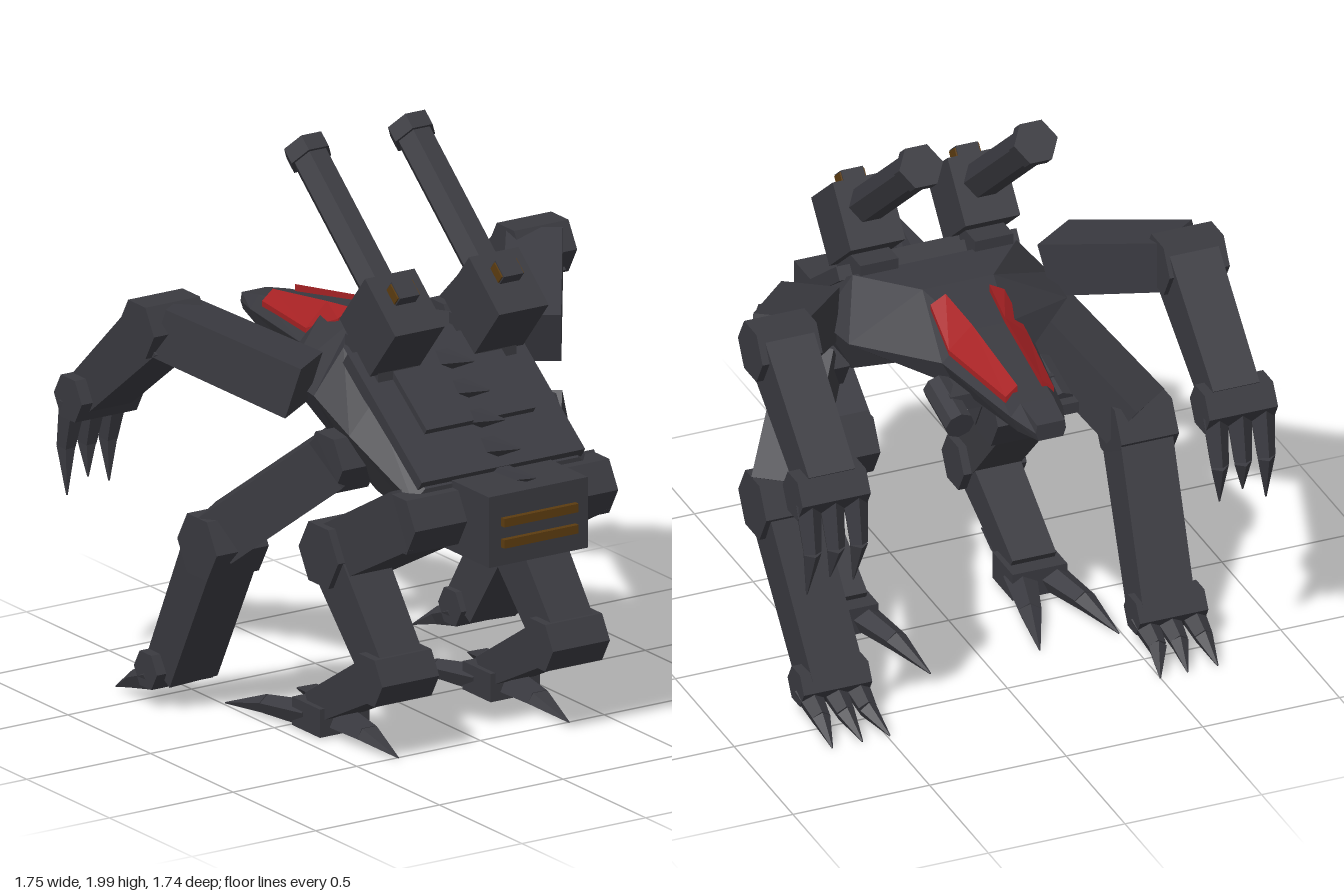
import * as THREE from 'three';

const armor = new THREE.MeshStandardMaterial({ color: 0x3a3a40 });
armor.name = 'charcoalArmor';
const red = new THREE.MeshStandardMaterial({ color: 0xa82224 });
red.name = 'redStripe';
const amber = new THREE.MeshStandardMaterial({ color: 0x5c3c10 });
amber.name = 'amberVent';

const V = (x, y, z) => new THREE.Vector3(x, y, z);

// Adds a faceted mesh to a parent
function add(parent, name, geo, mat = armor) {
  const g = geo.index ? geo.toNonIndexed() : geo;
  g.computeVertexNormals();
  const mesh = new THREE.Mesh(g, mat);
  mesh.name = name;
  parent.add(mesh);
  return mesh;
}

function box(parent, name, size, pos, mat) {
  const m = add(parent, name, new THREE.BoxGeometry(...size), mat);
  m.position.set(...pos);
  return m;
}

// Closed skin over matching rings of points, ordered along +z
function loft(rings) {
  const n = rings[0].length, last = rings.length - 1, idx = [];
  for (let i = 0; i < last; i++) {
    for (let j = 0; j < n; j++) {
      const k = (j + 1) % n, a = i * n + j, b = i * n + k;
      idx.push(a, b, b + n, a, b + n, a + n);
    }
  }
  for (let j = 1; j < n - 1; j++) {
    idx.push(0, j + 1, j, last * n, last * n + j, last * n + j + 1);
  }
  const g = new THREE.BufferGeometry();
  g.setAttribute('position', new THREE.Float32BufferAttribute(rings.flat(2), 3));
  g.setIndex(idx);
  return g;
}

// Places a y-long geometry between two points; level keeps its x axis horizontal, else near world x
function align(mesh, a, b, level = false) {
  const y = b.clone().sub(a).normalize();
  const x = (level ? V(-y.z, 0, y.x) : V(1, 0, 0).addScaledVector(y, -y.x)).normalize();
  const z = x.clone().cross(y);
  mesh.quaternion.setFromRotationMatrix(new THREE.Matrix4().makeBasis(x, y, z));
  mesh.position.copy(a).add(b).multiplyScalar(0.5);
}

// Tapered box limb: widths and depths at both ends
function limb(parent, name, a, b, w0, d0, w1, d1, level) {
  const g = new THREE.BoxGeometry(1, a.distanceTo(b), 1), p = g.attributes.position;
  for (let i = 0; i < p.count; i++) {
    const end = p.getY(i) > 0;
    p.setX(i, p.getX(i) * (end ? w1 : w0));
    p.setZ(i, p.getZ(i) * (end ? d1 : d0));
  }
  align(add(parent, name, g), a, b, level);
}

// Pointed claw through a list of points
function claw(parent, name, pts, r, flat = 1) {
  const n = pts.length - 1;
  for (let i = 0; i < n; i++) {
    const r0 = r * (1 - 0.3 * i), r1 = i === n - 1 ? 0.003 : r * (1 - 0.3 * (i + 1));
    const m = add(parent, name, new THREE.CylinderGeometry(r1, r0, pts[i].distanceTo(pts[i + 1]), 5));
    align(m, pts[i], pts[i + 1]);
    m.scale.z = flat;
  }
}

// Hexagonal joint with its axle along x
function joint(parent, name, r, width, pos) {
  const m = add(parent, name, new THREE.CylinderGeometry(r, r, width, 6));
  m.rotation.z = Math.PI / 2;
  m.position.copy(pos);
}

function sideGroup(root, name) {
  const g = new THREE.Group();
  g.name = name;
  root.add(g);
  return g;
}

function buildArm(root, s) {
  const g = sideGroup(root, s > 0 ? 'leftArm' : 'rightArm');
  limb(g, 'upperArm', V(s * 0.46, 1.245, 0.12), V(s * 0.74, 1.4, -0.28), 0.2, 0.19, 0.19, 0.18, true);
  joint(g, 'elbow', 0.105, 0.22, V(s * 0.745, 1.4, -0.3));
  limb(g, 'forearm', V(s * 0.74, 1.4, -0.29), V(s * 0.74, 1.07, -0.68), 0.18, 0.2, 0.17, 0.15);
  joint(g, 'wrist', 0.085, 0.25, V(s * 0.745, 1.05, -0.695));
  [[0.66, 0.71], [0.745, 0.74], [0.83, 0.69]].forEach(([x, tip]) => claw(g, 'fingerClaw',
    [V(s * x, 1.03, -0.725), V(s * x, 0.86, -0.765), V(s * (x + 0.01), tip, -0.745)], 0.048));
}

function buildMiddleLeg(root, s) {
  const g = sideGroup(root, s > 0 ? 'leftMiddleLeg' : 'rightMiddleLeg');
  joint(g, 'middleHip', 0.11, 0.14, V(s * 0.38, 1.0, 0.23));
  limb(g, 'middleThigh', V(s * 0.405, 1.005, 0.22), V(s * 0.645, 0.7, -0.09), 0.18, 0.19, 0.19, 0.19, true);
  joint(g, 'middleKnee', 0.12, 0.21, V(s * 0.65, 0.67, -0.085));
  limb(g, 'middleShin', V(s * 0.645, 0.67, -0.09), V(s * 0.605, 0.14, -0.4), 0.19, 0.18, 0.19, 0.16);
  joint(g, 'middleAnkle', 0.07, 0.25, V(s * 0.615, 0.14, -0.42));
  [[0.53, 0.495], [0.61, 0.595], [0.7, 0.705]].forEach(([x, tip]) => claw(g, 'middleToeClaw',
    [V(s * x, 0.11, -0.42), V(s * x, 0.07, -0.54), V(s * tip, 0.015, -0.65)], 0.048));
}

function buildHindLeg(root, s) {
  const g = sideGroup(root, s > 0 ? 'leftHindLeg' : 'rightHindLeg');
  joint(g, 'hindHip', 0.11, 0.22, V(s * 0.3, 0.88, 0.61));
  limb(g, 'hindThigh', V(s * 0.3, 0.89, 0.62), V(s * 0.32, 0.67, 0.22), 0.22, 0.21, 0.22, 0.2);
  joint(g, 'hindKnee', 0.12, 0.24, V(s * 0.335, 0.665, 0.2));
  limb(g, 'hindShin', V(s * 0.345, 0.66, 0.2), V(s * 0.345, 0.31, 0.5), 0.18, 0.19, 0.17, 0.15);
  joint(g, 'hindAnkle', 0.095, 0.23, V(s * 0.345, 0.305, 0.5));
  limb(g, 'hindFootBone', V(s * 0.345, 0.3, 0.48), V(s * 0.345, 0.09, 0.1), 0.17, 0.15, 0.16, 0.11);
  box(g, 'footPad', [0.2, 0.1, 0.17], [s * 0.345, 0.065, 0.11]);
  claw(g, 'heelClaw', [V(s * 0.345, 0.06, 0.14), V(s * 0.345, 0.05, 0.34), V(s * 0.345, 0.015, 0.52)], 0.07, 0.65);
  // Two splayed front toes
  for (const t of [1, -1]) {
    claw(g, 'hindToeClaw', [V(s * 0.345 + t * 0.05, 0.06, 0.08), V(s * 0.345 + t * 0.1, 0.05, -0.12),
      V(s * 0.345 + t * 0.145, 0.01, -0.31)], 0.06, 0.8);
  }
}

function buildCannon(root, s) {
  box(root, 'cannonMount', [0.14, 0.14, 0.2], [s * 0.21, 1.32, 0.2]);
  const g = sideGroup(root, s > 0 ? 'leftCannon' : 'rightCannon');
  g.position.set(s * 0.21, 1.465, 0.28);
  g.rotation.x = 0.7;
  box(g, 'cannonHousing', [0.2, 0.24, 0.24], [0, 0, 0]);
  box(g, 'cannonVent', [0.08, 0.045, 0.07], [0, 0.14, -0.03]);
  for (const t of [1, -1]) box(g, 'ventSidePlate', [0.006, 0.035, 0.06], [t * 0.042, 0.14, -0.03], amber);
  [['barrel', 0.067, 0.62, -0.39], ['muzzle', 0.08, 0.06, -0.69]].forEach(([name, r, len, z]) => {
    const m = add(g, name, new THREE.CylinderGeometry(r, r, len, 6, 1, false, Math.PI / 2));
    m.rotation.x = Math.PI / 2;
    m.position.set(0, 0.025, z);
  });
}

function buildChinGun(root, s) {
  const g = sideGroup(root, s > 0 ? 'leftChinGun' : 'rightChinGun');
  box(g, 'gunBracket', [0.12, 0.06, 0.14], [s * 0.13, 1.125, -0.39]);
  const body = add(g, 'gunBody', new THREE.CylinderGeometry(0.052, 0.052, 0.2, 8));
  body.rotation.x = Math.PI / 2 - 0.25;
  body.position.set(s * 0.185, 1.105, -0.43);
  // Only one side carries a sensor head
  if (s < 0) box(g, 'sensorHead', [0.09, 0.04, 0.05], [-0.185, 1.085, -0.55]);
}

export function createModel() {
  const root = new THREE.Group();
  root.name = 'walkerBeast';

  // Hull and head: z, then half width and height of the top, flank and belly
  const hull = [
    [-0.87, 0.05, 1.23, 0.055, 1.2, 0.045, 1.17],
    [-0.75, 0.06, 1.255, 0.095, 1.21, 0.07, 1.15],
    [-0.34, 0.07, 1.325, 0.17, 1.22, 0.12, 1.12],
    [-0.08, 0.13, 1.36, 0.4, 1.21, 0.23, 1.1],
    [0.12, 0.3, 1.35, 0.42, 1.2, 0.3, 0.99],
    [0.32, 0.31, 1.22, 0.41, 1.11, 0.3, 0.9],
    [0.63, 0.31, 0.99, 0.36, 0.95, 0.3, 0.84],
  ];
  add(root, 'hull', loft(hull.map(([z, tw, ty, mw, my, bw, by]) => [
    [tw, ty, z], [-tw, ty, z], [-mw, my, z], [-bw, by, z], [bw, by, z], [mw, my, z]])));

  // Back plates and spines
  box(root, 'backPlate', [0.66, 0.05, 0.56], [0, 1.165, 0.4]).rotation.x = 0.64;
  box(root, 'upperBackPlate', [0.44, 0.04, 0.33], [0, 1.23, 0.36]).rotation.x = 0.64;
  for (let i = 0; i < 5; i++) {
    const z = 0.46 + i * 0.093, y = 1.34 - i * 0.078;
    claw(root, 'backSpine', [V(0, y - 0.055, z - 0.23), V(0, y, z)], 0.05);
  }

  // Rear exhaust
  box(root, 'exhaustBox', [0.4, 0.25, 0.27], [0, 0.875, 0.715]);
  for (const y of [0.905, 0.83]) box(root, 'exhaustSlot', [0.3, 0.03, 0.02], [0, y, 0.86], amber);
  box(root, 'pelvis', [0.6, 0.14, 0.26], [0, 0.89, 0.53]);

  for (const s of [1, -1]) {
    buildArm(root, s);
    buildMiddleLeg(root, s);
    buildHindLeg(root, s);
    buildCannon(root, s);
    buildChinGun(root, s);

    // Raised head stripe: z, inner x and y, outer x and y
    const stripe = [
      [-0.69, 0.045, 1.29, 0.088, 1.255],
      [-0.34, 0.06, 1.345, 0.145, 1.265],
      [-0.16, 0.08, 1.375, 0.135, 1.345],
    ].map(([z, xi, yi, xo, yo]) => {
      const ring = [[s * xi, yi, z], [s * xo, yo, z], [s * xo, yo - 0.03, z], [s * xi, yi - 0.05, z]];
      return s > 0 ? ring.reverse() : ring;
    });
    add(root, 'headStripe', loft(stripe), red);
  }
  return root;
}
